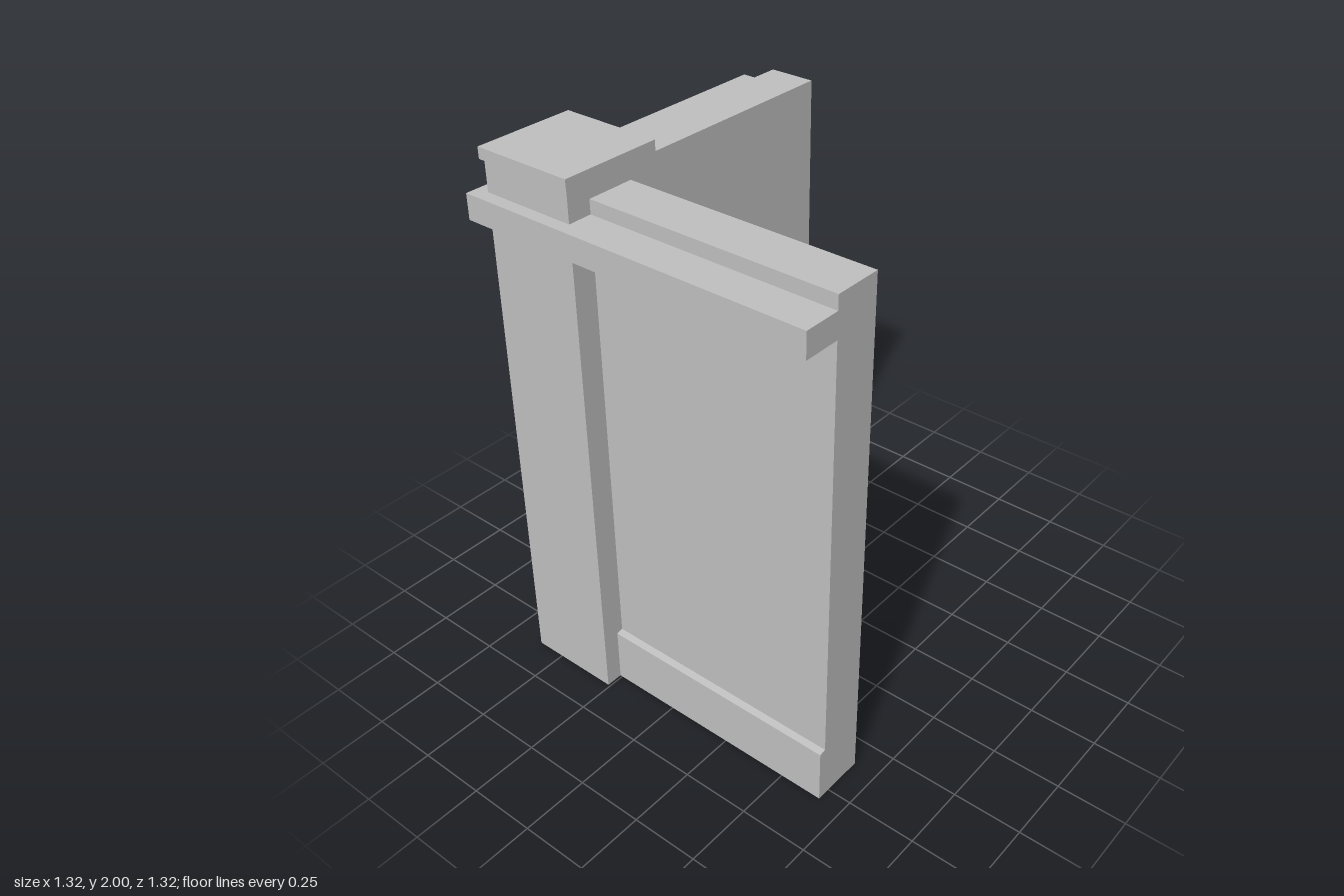
import * as THREE from 'three';

const OUT = 0.66;    // outer edge of the ledge and free ends of the walls
const FACE = 0.525;  // outer face of the walls

function extrude(points, depth) {
  const shape = new THREE.Shape(points.map(([x, y]) => new THREE.Vector2(x, y)));
  return new THREE.ExtrudeGeometry(shape, { depth, bevelEnabled: false });
}

export function createModel() {
  const group = new THREE.Group();
  const plaster = new THREE.MeshStandardMaterial({ color: 0xc0c0c0 });
  plaster.name = 'light grey';

  const add = (name, geometry) => {
    const mesh = new THREE.Mesh(geometry, plaster);
    mesh.name = name;
    group.add(mesh);
    return mesh;
  };

  // Corner post and its cap, both square and centred on the same axis
  const block = (name, size, bottom, top) => {
    const mesh = add(name, new THREE.BoxGeometry(size, top - bottom, size));
    mesh.position.set(-0.436, (bottom + top) / 2, -0.436);
  };
  block('cornerPost', 0.354, 0, 1.96);
  block('postCap', 0.376, 1.96, 2);

  // Wall section with a skirting step on its outer face
  const wall = (name, side) => add(name, extrude([
    [0.35, 0], [0.55, 0], [0.55, 0.205], [FACE, 0.21], [FACE, 1.9], [0.35, 1.9],
  ].map(([x, y]) => [x * side, y]), OUT + 0.26).translate(0, 0, -0.26));
  wall('sideWall', -1);
  wall('backWall', 1).rotation.y = Math.PI / 2;

  // L-shaped ledge running around the outside of the corner
  const ledge = extrude([
    [-OUT, -OUT], [-FACE, -OUT], [-FACE, FACE], [OUT, FACE], [OUT, OUT], [-OUT, OUT],
  ], 0.09);
  ledge.rotateX(-Math.PI / 2);
  add('ledge', ledge).position.y = 1.76;

  return group;
}
